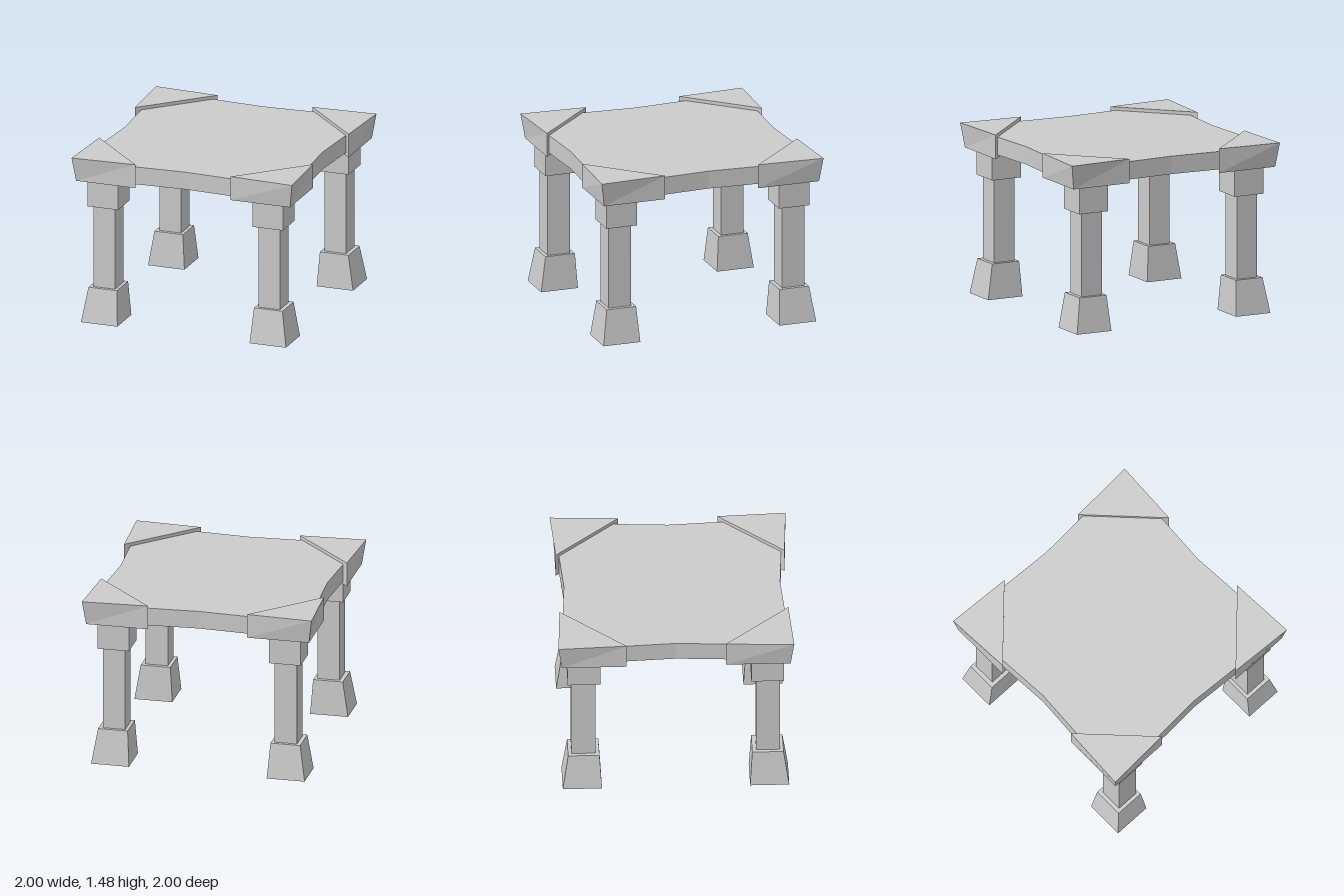
import * as THREE from 'three';

const material = new THREE.MeshStandardMaterial({ color: 0xcccccc, flatShading: true });
const openMaterial = new THREE.MeshStandardMaterial({
  color: 0xcccccc, flatShading: true, side: THREE.DoubleSide,
});

// Joins outlines { y, pts: [[x, z], ...] } from bottom to top, with optional end caps
function loft(name, rings, closed = true) {
  const p = rings[0].pts;
  const area = p.reduce((s, [x, z], i) => {
    const [nx, nz] = p[(i + 1) % p.length];
    return s + x * nz - nx * z;
  }, 0);
  const loops = rings.map(({ y, pts }) => {
    const loop = pts.map(([x, z]) => [x, y, z]);
    return area > 0 ? loop.reverse() : loop;
  });
  const n = p.length;
  const out = [];
  const centre = (loop) => [0, 1, 2].map((k) => loop.reduce((s, v) => s + v[k], 0) / n);
  for (let i = 0; i < n; i++) {
    const j = (i + 1) % n;
    for (let r = 0; r < loops.length - 1; r++) {
      const lo = loops[r], hi = loops[r + 1];
      out.push(lo[i], lo[j], hi[j], lo[i], hi[j], hi[i]);
    }
    if (closed) {
      const lo = loops[0], hi = loops[loops.length - 1];
      out.push(centre(hi), hi[i], hi[j], centre(lo), lo[j], lo[i]);
    }
  }
  const geometry = new THREE.BufferGeometry();
  geometry.setAttribute('position', new THREE.Float32BufferAttribute(out.flat(), 3));
  geometry.computeVertexNormals();
  const mesh = new THREE.Mesh(geometry, closed ? material : openMaterial);
  mesh.name = name;
  return mesh;
}

const rect = (x0, x1, z0, z1) => [[x0, z0], [x1, z0], [x1, z1], [x0, z1]];

export function createModel() {
  const model = new THREE.Group();
  model.name = 'table';

  // Top board with edges that bow inwards
  const board = [
    [0.96, 0.97], [0.9, 0], [0.96, -0.97], [0, -0.917],
    [-0.96, -0.97], [-0.9, 0], [-0.96, 0.97], [0, 0.917],
  ];
  model.add(loft('tableTop', [{ y: 1.29, pts: board }, { y: 1.445, pts: board }]));

  for (const sx of [1, -1]) {
    for (const sz of [1, -1]) {
      const ring = (y, pts) => ({ y, pts: pts.map(([x, z]) => [x * sx, z * sz]) });
      const corner = new THREE.Group();
      corner.name = `${sz > 0 ? 'front' : 'back'}${sx > 0 ? 'Left' : 'Right'}Corner`;

      // Triangular corner slab, leaning out at its tip
      corner.add(loft('cornerSlab', [
        ring(1.265, [[0.97, 0.97], [0.43, 0.97], [0.97, 0.42]]),
        ring(1.475, [[1, 1], [0.43, 0.97], [0.97, 0.42]]),
      ]));

      // Block between leg and slab
      const block = rect(0.61, 0.885, 0.64, 0.917);
      corner.add(loft('legBlock', [ring(1.03, block), ring(1.265, block)]));

      // Leg post
      const post = rect(0.65, 0.845, 0.682, 0.883);
      corner.add(loft('legPost', [ring(0.305, post), ring(1.03, post)], false));

      // Hollow tapered foot with a ledge around the post
      corner.add(loft('foot', [
        ring(0, rect(0.6, 0.93, 0.628, 0.96)),
        ring(0.305, rect(0.622, 0.88, 0.648, 0.913)),
        ring(0.305, post),
      ], false));

      model.add(corner);
    }
  }
  return model;
}
